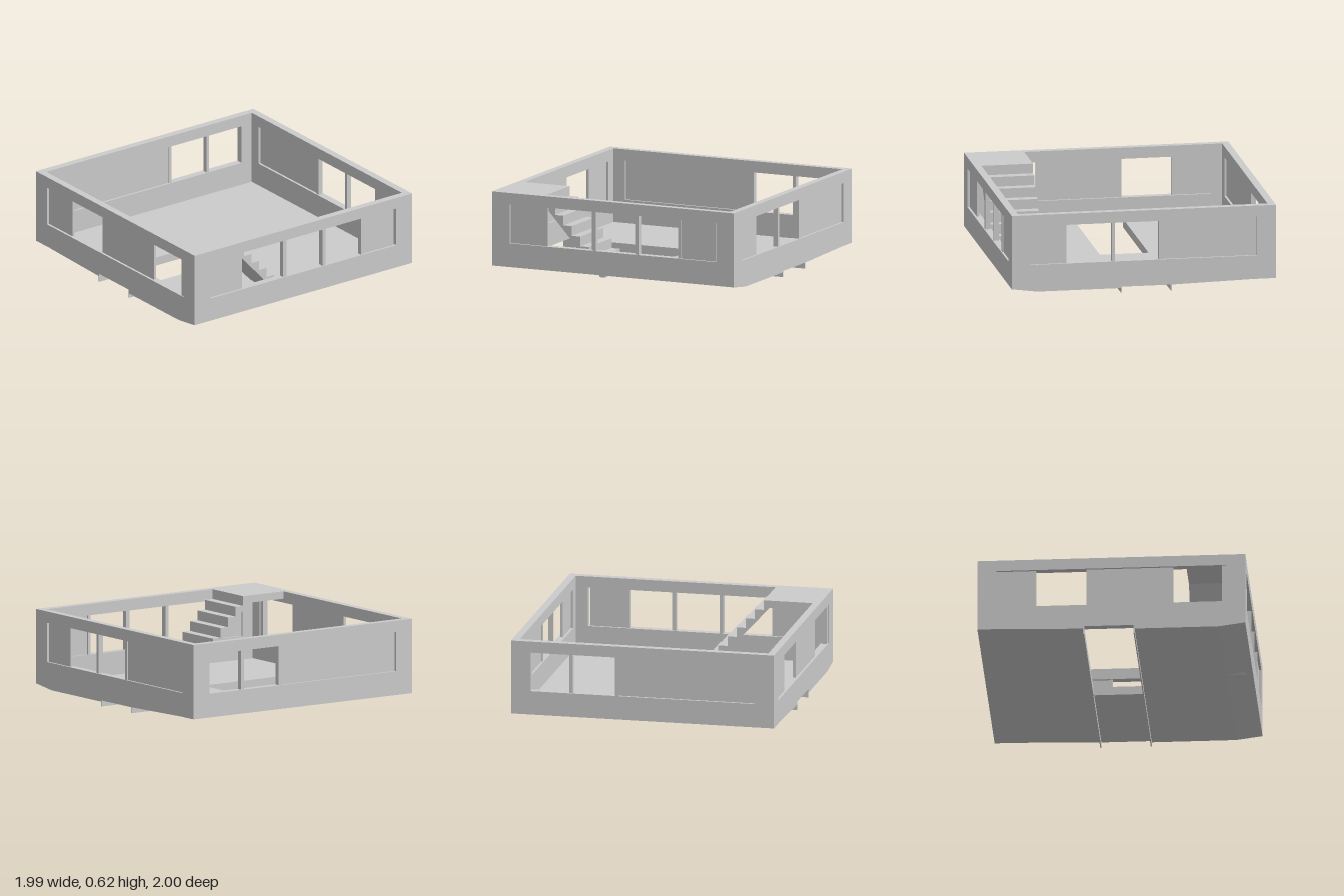
import * as THREE from 'three';

const FLOOR = 0.065, TOP = 0.62, T = 0.055, HX = 0.995;
const SILL = 0.24, HEAD = 0.535, WIN = 0.853;

export function createModel() {
  const model = new THREE.Group();
  model.name = 'storeyShell';
  const mat = new THREE.MeshStandardMaterial({ color: 0xcccccc, flatShading: true });

  const add = (parent, name, geometry) => {
    const mesh = new THREE.Mesh(geometry, mat);
    mesh.name = name;
    parent.add(mesh);
    return mesh;
  };
  // box from minimum and maximum corners
  const box = (parent, name, x0, x1, y0, y1, z0, z1) =>
    add(parent, name, new THREE.BoxGeometry(x1 - x0, y1 - y0, z1 - z0))
      .position.set((x0 + x1) / 2, (y0 + y1) / 2, (z0 + z1) / 2);
  const shapeOf = (pts) => new THREE.Shape(pts.map(([x, y]) => new THREE.Vector2(x, y)));
  const extrude = (shape, depth) => new THREE.ExtrudeGeometry(shape, { depth, bevelEnabled: false });
  const rect = (x0, x1, y0, y1) => [[x0, y0], [x1, y0], [x1, y1], [x0, y1]];

  // wall with one long window band, closed by panels and divided by mullions
  function wall(name, half, panels, mullions) {
    const g = new THREE.Group();
    g.name = name;
    const shape = shapeOf(rect(-half, half, FLOOR, TOP));
    shape.holes.push(shapeOf(rect(-WIN, WIN, SILL, HEAD)));
    add(g, name + 'Frame', extrude(shape, T));
    panels.forEach(([a, b]) => box(g, 'windowPanel', a, b, SILL, HEAD, 0.017, 0.037));
    mullions.forEach(([a, b]) => box(g, 'mullion', a, b, SILL, HEAD, 0.008, 0.047));
    model.add(g);
    return g;
  }

  wall('frontWall', HX, [[-WIN, -0.56], [-0.185, 0.46]], [[0.82, WIN]])
    .position.z = 1 - T;
  wall('backWall', HX, [[-WIN, -0.14], [0.58, WIN]], [[-0.14, -0.115], [0.215, 0.24]])
    .position.z = -1;

  // side walls: local x runs along +z, depth runs towards -x
  const leftWall = wall('leftWall', 1 - T, [[0.55, WIN], [-0.84, -0.56]],
    [[0.15, 0.18], [-0.21, -0.18], [-0.56, -0.535]]);
  leftWall.rotation.y = -Math.PI / 2;
  leftWall.position.x = HX;
  const rightWall = wall('rightWall', 1 - T, [[-0.2, WIN]], [[-0.56, -0.535], [-0.215, -0.19]]);
  rightWall.rotation.y = -Math.PI / 2;
  rightWall.position.x = -HX + T;

  // floor slabs with a gently sloping underside, leaving the front opening free
  const slab = (name, pts, z0, z1) => {
    add(model, name, extrude(shapeOf(pts), z1 - z0)).position.z = z0;
  };
  slab('rightFloor', [[-HX, FLOOR], [-HX, 0.061], [-0.83, 0.061], [-0.205, 0.045], [-0.205, FLOOR]], -1, 1);
  slab('leftFloor', [[0.17, FLOOR], [0.17, 0.035], [0.8, 0.035], [HX, 0.061], [HX, FLOOR]], -1, 1);
  slab('middleFloor', rect(-0.205, 0.17, 0.045, FLOOR), -1, -0.075);

  // thin beams under the floor on both sides of the opening, and the cross beam
  for (const x of [-0.21, 0.165]) box(model, 'floorBeam', x, x + 0.008, 0, FLOOR, -1, 1);
  box(model, 'crossBeam', -0.205, 0.17, 0, FLOOR, -0.085, -0.075);

  // staircase profile (z, y): steps up to the landing, then back along the sloping soffit
  const steps = 8, z0 = 0.093, y0 = 0.035, run = 0.069, rise = (TOP - y0) / steps;
  const profile = [[z0, y0]];
  for (let i = 0; i < steps; i++) {
    const y = TOP - (steps - 1 - i) * rise;
    profile.push([z0 + i * run, y]);
    if (i < steps - 1) profile.push([z0 + (i + 1) * run, y]);
  }
  profile.push([1 - T, TOP], [1 - T, 0.565], [0.62, 0.565], [0.135, y0]);
  const stairs = add(model, 'stairsAndLanding', extrude(shapeOf(profile), 0.388));
  stairs.rotation.y = -Math.PI / 2;
  stairs.position.x = HX - T;

  return model;
}
